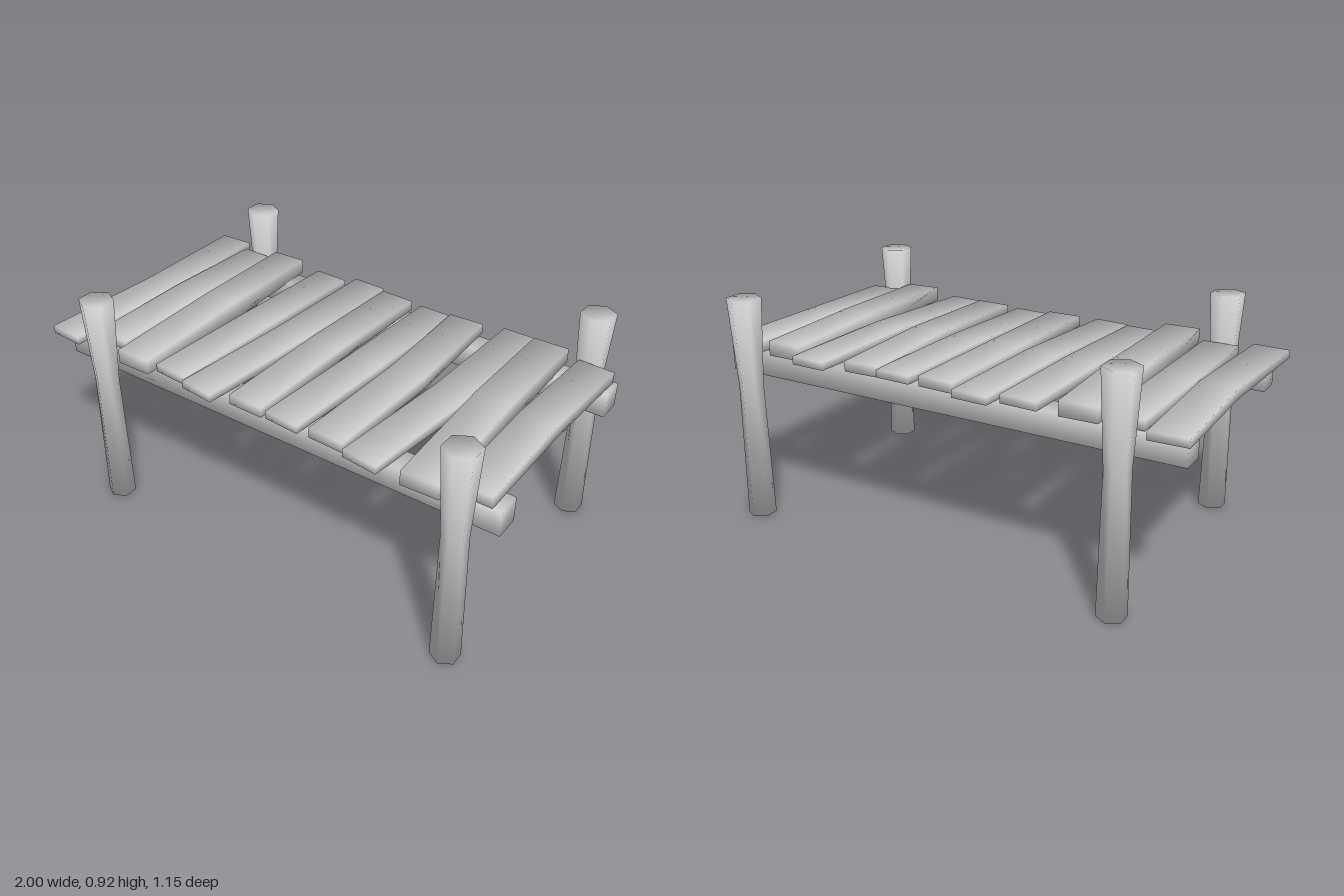
import * as THREE from 'three';

const material = new THREE.MeshStandardMaterial({ color: 0xcccccc });

// Smooth normals, each face weighted by its angle at the corner, so ends round off softly
function smoothNormals(points, faces) {
  const normals = points.map(() => new THREE.Vector3());
  for (const face of faces) {
    const [a, b, c] = face.map((i) => points[i]);
    const normal = new THREE.Triangle(a, b, c).getNormal(new THREE.Vector3());
    face.forEach((index, k) => {
      const toNext = points[face[(k + 1) % 3]].clone().sub(points[index]);
      const toLast = points[face[(k + 2) % 3]].clone().sub(points[index]);
      normals[index].addScaledVector(normal, toNext.angleTo(toLast));
    });
  }
  return normals.map((n) => n.normalize());
}

// Closed solid through rings of points, counter-clockwise seen from the last ring's end
function loft(rings) {
  const points = rings.flat();
  const n = rings[0].length;
  const last = points.length - n;
  const faces = [];
  for (let start = 0; start < last; start += n) {
    for (let j = 0; j < n; j++) {
      const a = start + j;
      const b = start + ((j + 1) % n);
      faces.push([a, b, a + n], [b, b + n, a + n]);
    }
  }
  for (let j = 1; j < n - 1; j++) {
    faces.push([0, j + 1, j], [last, last + j, last + j + 1]);
  }
  const geometry = new THREE.BufferGeometry().setFromPoints(points);
  const normals = smoothNormals(points, faces).flatMap((v) => v.toArray());
  geometry.setAttribute('normal', new THREE.Float32BufferAttribute(normals, 3));
  geometry.setIndex(faces.flat());
  return geometry;
}

function addMesh(parent, name, geometry) {
  const mesh = new THREE.Mesh(geometry, material);
  mesh.name = name;
  parent.add(mesh);
  return mesh;
}

// Corners of a rectangle, counter-clockwise
const corners = [[-1, -1], [1, -1], [1, 1], [-1, 1]];

// Six-sided post, narrow at the waist and flared at the top
function postGeometry() {
  const stations = [[0, 0.057], [0.56, 0.049], [0.921, 0.069]];
  return loft(stations.map(([y, radius]) =>
    Array.from({ length: 6 }, (_, i) => {
      const angle = (i * Math.PI) / 3;
      return new THREE.Vector3(Math.sin(angle) * radius, y, Math.cos(angle) * radius);
    })));
}

// Straight square beam along x
function beamGeometry() {
  return loft([-0.957, 0.999].map((x) =>
    corners.map(([u, v]) => new THREE.Vector3(x, v * 0.05, -u * 0.049))));
}

// Bent board through three stations: back, middle and front
function plankGeometry({ xs, back, front, bottom, top, belly }) {
  const ends = [back, 0, front];
  const slopes = [
    (xs[1] - xs[0]) / -back,
    (xs[2] - xs[0]) / (front - back),
    (xs[2] - xs[1]) / front,
  ];
  return loft(ends.map((z, i) => {
    const swell = i === 1 ? belly : 0;
    return corners.map(([u, v]) => {
      const dx = u * 0.0735;
      const y = v > 0 ? top + swell : bottom - swell;
      // cut each end square to the direction of the board
      return new THREE.Vector3(xs[i] + dx, y, z - dx * slopes[i]);
    });
  }));
}

export function createModel() {
  const group = new THREE.Group();
  group.name = 'dock';

  // Corner posts
  for (const x of [-0.737, 0.863]) {
    for (const z of [-0.508, 0.508]) {
      addMesh(group, 'post', postGeometry()).position.set(x, 0, z);
    }
  }

  // Long beams under the deck
  for (const z of [-0.404, 0.414]) {
    addMesh(group, 'beam', beamGeometry()).position.set(0, 0.641, z);
  }

  // Deck planks: centre x at back, middle, front; z of back and front ends; top height
  const planks = [
    [-0.91, -0.895, -0.926, -0.52, 0.525, 0.723],
    [-0.73, -0.742, -0.742, -0.455, 0.45, 0.73],
    [-0.573, -0.56, -0.55, -0.48, 0.53, 0.75],
    [-0.34, -0.36, -0.39, -0.478, 0.497, 0.725],
    [-0.166, -0.185, -0.236, -0.517, 0.527, 0.722],
    [0, -0.018, -0.024, -0.478, 0.5, 0.732],
    [0.19, 0.172, 0.139, -0.478, 0.5, 0.723],
    [0.332, 0.352, 0.332, -0.478, 0.5, 0.732],
    [0.557, 0.545, 0.49, -0.517, 0.527, 0.723],
    [0.705, 0.71, 0.73, -0.478, 0.53, 0.75],
    [0.908, 0.887, 0.89, -0.448, 0.463, 0.737],
  ];
  for (const [a, b, c, back, front, top] of planks) {
    addMesh(group, 'plank', plankGeometry({
      xs: [a, b, c], back, front, top,
      bottom: 0.691,
      belly: top > 0.74 ? 0.01 : 0.005,
    }));
  }

  return group;
}
